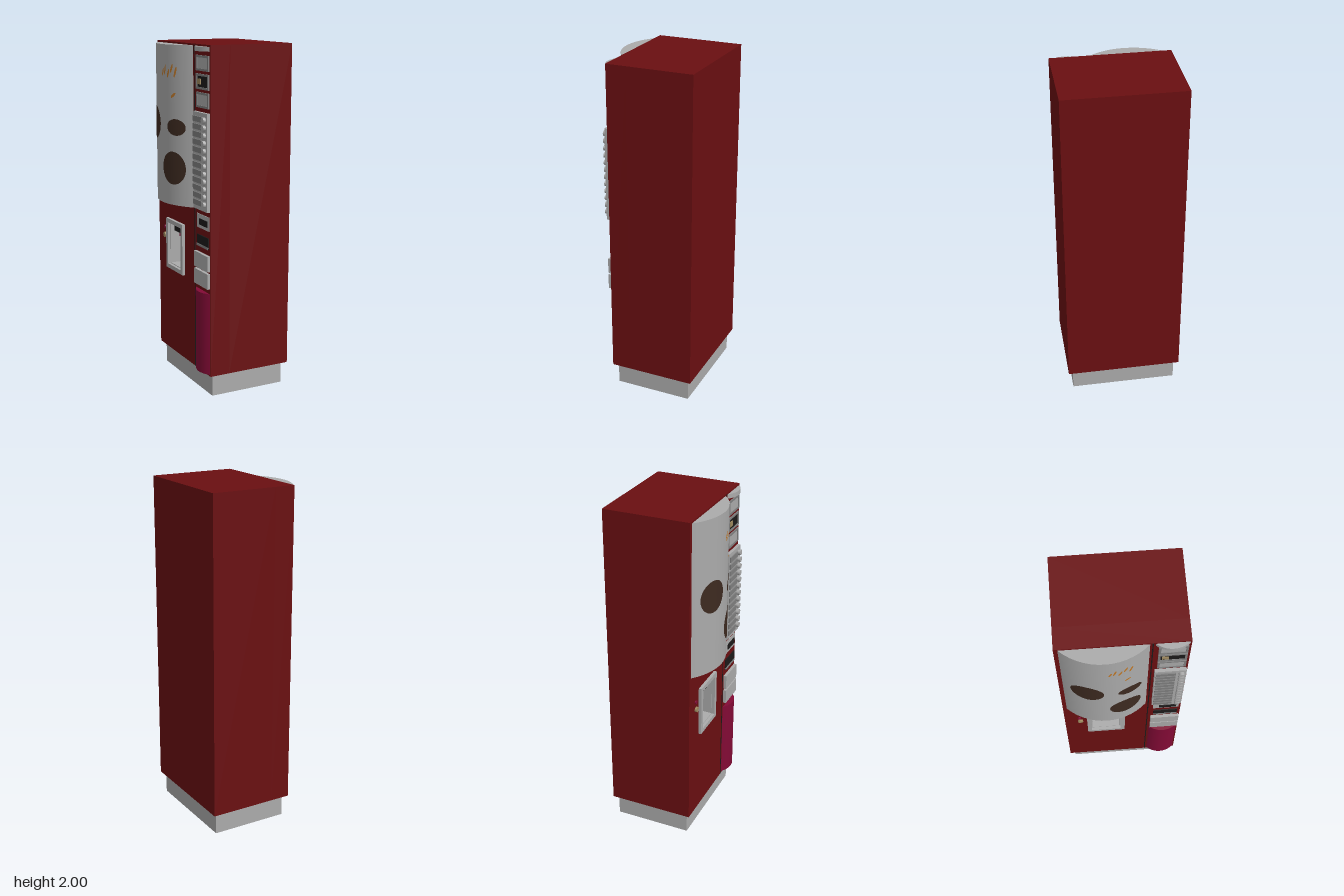
import * as THREE from 'three';

const mat = (name, color, side = THREE.FrontSide) => {
  const m = new THREE.MeshStandardMaterial({ color, side });
  m.name = name;
  return m;
};

export function createModel() {
  const red = mat('dark red', 0x6a0f11);
  const grey = mat('light grey', 0xababab);
  const steel = mat('mid grey', 0x808080);
  const black = mat('black', 0x1c1a1a);
  const magenta = mat('magenta', 0x820a35);
  const brown = mat('coffee brown', 0x3d2a20, THREE.DoubleSide);
  const orange = mat('orange', 0xc07a2c, THREE.DoubleSide);
  const brass = mat('brass', 0xa08a60);

  const root = new THREE.Group();
  root.name = 'vendingMachine';
  const add = (name, geo, material) => {
    const m = new THREE.Mesh(geo, material);
    m.name = name;
    root.add(m);
    return m;
  };
  // Box given by its limits on each axis
  const box = (name, material, x0, x1, y0, y1, z0, z1) => add(name,
    new THREE.BoxGeometry(x1 - x0, y1 - y0, z1 - z0)
      .translate((x0 + x1) / 2, (y0 + y1) / 2, (z0 + z1) / 2), material);
  // Rectangular plate with a rectangular hole, facing -x; limits are [z0, z1, y0, y1]
  const holedPlate = (name, material, outer, inner, xBack, xFront) => {
    const corners = ([z0, z1, y0, y1]) => [[z0, y0], [z1, y0], [z1, y1], [z0, y1]]
      .map(p => new THREE.Vector2(...p));
    const shape = new THREE.Shape(corners(outer));
    shape.holes.push(new THREE.Path(corners(inner).reverse()));
    const geo = new THREE.ExtrudeGeometry(shape, { depth: xBack - xFront, bevelEnabled: false });
    return add(name, geo.rotateY(-Math.PI / 2).translate(xBack, 0, 0), material);
  };
  // Bulging panel: a cylinder sector whose inner part lies inside the cabinet
  const bulge = (name, material, r, half, cx, cz, y0, y1, seg) => add(name,
    new THREE.CylinderGeometry(r, r, y1 - y0, seg, 1, false, -Math.PI / 2 - half, 2 * half)
      .translate(cx, (y0 + y1) / 2, cz), material);

  const F = -0.21; // front face of the cabinet

  // Cabinet with a serving recess, and plinth
  const hole = [-0.185, -0.01, 0.675, 0.93];
  box('cabinetRear', red, -0.09, 0.298, 0.13, 2, -0.3425, 0.3425);
  holedPlate('cabinetFront', red, [-0.3425, 0.3425, 0.13, 2], hole, -0.09, F);
  box('plinth', [grey, grey, grey, red, grey, grey], -0.185, 0.273, 0, 0.13, -0.315, 0.315);
  box('doorGap', black, F - 0.002, F, 0.13, 1.995, 0.147, 0.153);

  // Large curved display panel
  const R = 0.334, CX = 0.034, CZ = -0.0925;
  bulge('displayPanel', grey, R, 0.7514, CX, CZ, 1.08, 1.99, 14);

  // Painted patch wrapped on the display; angle runs from -x toward +z
  const patch = (name, material, angle, y, halfAngle, halfHeight, lean = 0) => {
    const geo = new THREE.RingGeometry(0.001, 1, 28, 6);
    const p = geo.attributes.position;
    for (let i = 0; i < p.count; i++) {
      const u = p.getX(i), v = p.getY(i);
      const a = THREE.MathUtils.degToRad(angle + halfAngle * (u + lean * v));
      p.setXYZ(i, CX - (R + 0.002) * Math.cos(a), y + halfHeight * v, CZ + (R + 0.002) * Math.sin(a));
    }
    geo.computeVertexNormals();
    add(name, geo, material);
  };
  patch('coffeeSpotLeft', brown, -18, 1.54, 16, 0.095);
  patch('coffeeSpotLower', brown, 19, 1.295, 16, 0.095);
  patch('coffeeSpotUpper', brown, 23, 1.53, 12, 0.047);
  for (const [a, y, w, h] of [[4, 1.835, 1, 0.022], [8, 1.85, 1, 0.03], [13, 1.83, 1.2, 0.025],
    [18, 1.86, 1.2, 0.025], [23, 1.84, 1.2, 0.03], [20, 1.71, 2, 0.015]]) {
    patch('orangeWisp', orange, a, y, w, h, 1.2);
  }

  // Serving recess: lining, frame, nozzle
  const [hz0, hz1, hy0, hy1] = hole;
  box('recessBack', grey, -0.095, -0.09, hy0, hy1, hz0, hz1);
  box('recessFloor', grey, F, -0.09, hy0, hy0 + 0.004, hz0, hz1);
  box('recessCeiling', grey, F, -0.09, hy1 - 0.004, hy1, hz0, hz1);
  box('recessSide', grey, F, -0.09, hy0, hy1, hz0, hz0 + 0.004);
  box('recessSide', grey, F, -0.09, hy0, hy1, hz1 - 0.004, hz1);
  holedPlate('recessFrame', grey, [-0.21, 0.015, 0.65, 0.955], hole, F, -0.228);
  box('nozzleBlock', black, -0.2, -0.11, 0.885, 0.926, -0.15, -0.05);
  box('nozzle', magenta, -0.18, -0.13, 0.855, 0.885, -0.12, -0.08);

  // Lock beside the recess
  const knob = (name, material, r, x0, x1, y, z) => add(name,
    new THREE.CylinderGeometry(r, r, x1 - x0, 16).rotateZ(Math.PI / 2)
      .translate((x0 + x1) / 2, y, z), material);
  knob('lock', brass, 0.016, -0.222, F, 0.84, -0.25);
  knob('lockLamp', magenta, 0.011, -0.217, F, 0.89, -0.255);

  // Curved cap and lower cover of the control column
  bulge('columnCap', grey, 0.1286, 0.732, -0.114, 0.25, 1.965, 1.99, 10);
  bulge('lowerCover', magenta, 0.1286, 0.732, -0.114, 0.25, 0.14, 0.62, 10);

  // Framed windows at the top of the column
  for (const [y, inner] of [[1.9, grey], [1.8, black], [1.7, grey]]) {
    holedPlate('windowFrame', steel, [0.18, 0.33, y - 0.042, y + 0.042],
      [0.192, 0.318, y - 0.03, y + 0.03], F, F - 0.007);
    box('windowPane', inner, F - 0.003, F, y - 0.03, y + 0.03, 0.192, 0.318);
  }
  box('coinEntry', brass, F - 0.008, F, 1.785, 1.815, 0.2, 0.235);

  // Selection panel with label strips and round buttons
  box('selectionPanel', grey, -0.229, F, 1.09, 1.635, 0.168, 0.337);
  for (let i = 0; i < 12; i++) {
    const y = 1.13 + i * 0.0425;
    box('labelStrip', steel, -0.236, -0.229, y - 0.015, y + 0.015, 0.175, 0.28);
    knob('selectionButton', grey, 0.016, -0.245, -0.229, y, 0.311);
  }

  // Card slot and coin return
  box('cardSlotPlate', grey, F - 0.004, F, 0.98, 1.06, 0.18, 0.33);
  box('cardSlot', black, F - 0.008, F, 1.0, 1.035, 0.215, 0.315);
  box('coinReturn', black, F - 0.006, F, 0.875, 0.94, 0.185, 0.325);
  box('coinReturnLip', steel, F - 0.009, F, 0.875, 0.887, 0.185, 0.325);

  // Two flap boxes
  box('upperFlap', grey, -0.228, F, 0.75, 0.84, 0.17, 0.338);
  box('lowerFlap', grey, -0.228, F, 0.65, 0.738, 0.17, 0.338);

  return root;
}
